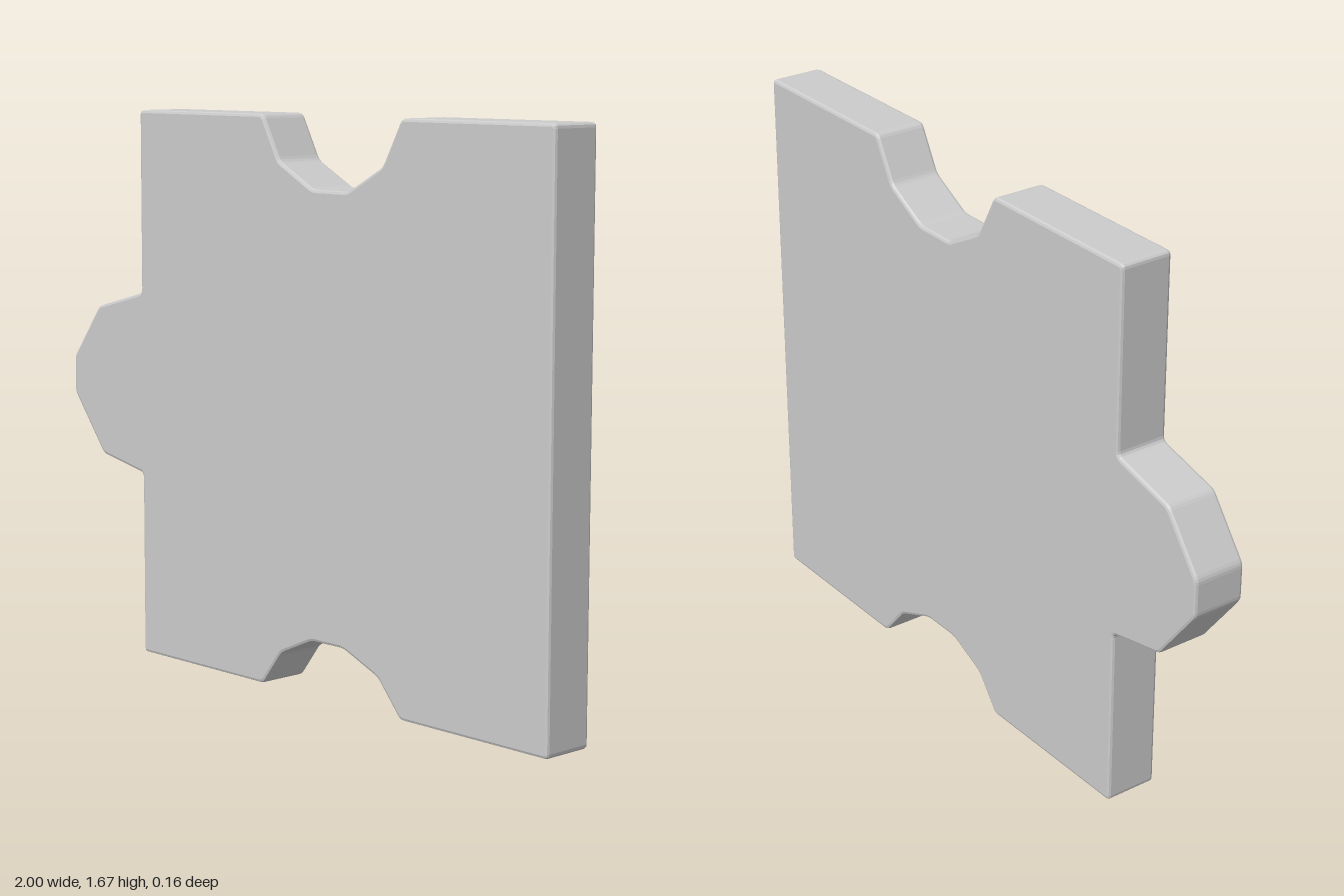
import * as THREE from 'three';

// Closed outline with every corner slightly rounded off
function roundedOutline(points, radius) {
  const pts = points.map(([x, y]) => new THREE.Vector2(x, y));
  const shape = new THREE.Shape();
  pts.forEach((p, i) => {
    const prev = pts[(i + pts.length - 1) % pts.length];
    const next = pts[(i + 1) % pts.length];
    const a = prev.clone().sub(p).setLength(radius).add(p);
    const b = next.clone().sub(p).setLength(radius).add(p);
    if (i === 0) shape.moveTo(a.x, a.y);
    else shape.lineTo(a.x, a.y);
    shape.quadraticCurveTo(p.x, p.y, b.x, b.y);
  });
  shape.closePath();
  return shape;
}

export function createModel() {
  const group = new THREE.Group();
  group.name = 'puzzlePiece';

  const left = -0.667, right = 1, top = 1.667;
  const outline = [
    // bottom edge with its notch
    [left, 0], [-0.12, 0], [-0.04, 0.105], [0.09, 0.163], [0.22, 0.163], [0.36, 0.105], [0.45, 0],
    // straight right edge
    [right, 0], [right, top],
    // top edge with its notch
    [0.445, top], [0.373, 1.535], [0.235, 1.46], [0.095, 1.46], [-0.045, 1.535], [-0.115, top],
    // side edge with its tab
    [left, top], [left, 1.115], [-0.875, 1.06], [-1, 0.893], [-1, 0.78], [-0.86, 0.598], [left, 0.56],
  ];

  // Flat slab with softened rims
  const depth = 0.163, bevel = 0.009;
  const geometry = new THREE.ExtrudeGeometry(roundedOutline(outline, 0.014), {
    depth: depth - 2 * bevel,
    curveSegments: 3,
    bevelEnabled: true,
    bevelThickness: bevel,
    bevelSize: bevel,
    bevelOffset: -bevel,
    bevelSegments: 2,
  });
  geometry.translate(0, 0, bevel - depth / 2);

  const body = new THREE.Mesh(geometry, new THREE.MeshStandardMaterial({ color: 0xcccccc }));
  body.name = 'pieceBody';
  group.add(body);
  return group;
}
